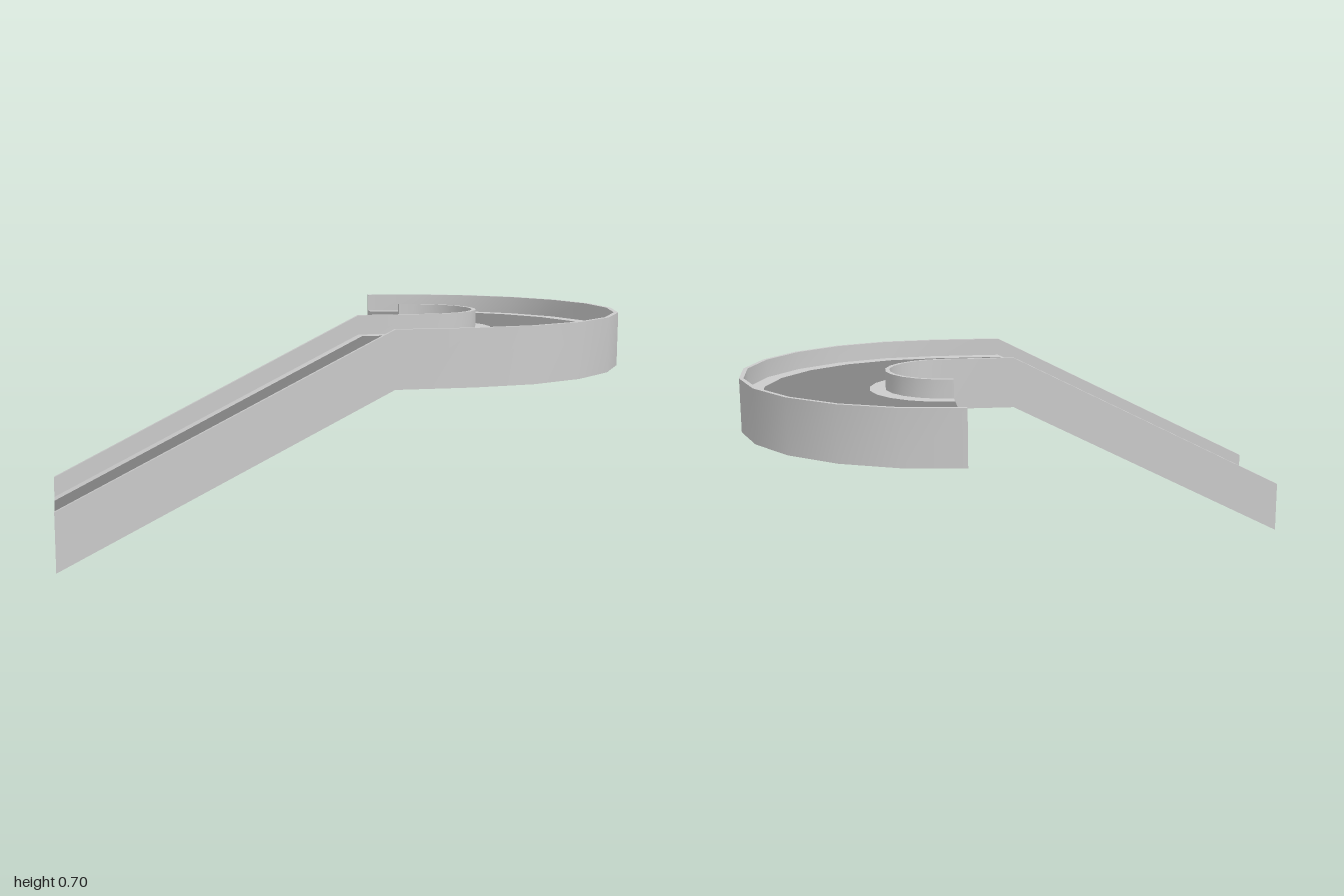
import * as THREE from 'three';
import { toCreasedNormals } from 'three/addons/utils/BufferGeometryUtils.js';

const CX = 0.287;               // centre of the bend
const LIFT = 0.517;             // height of the level stretch
const H = 0.185, LEDGE = 0.12;  // rail top and deck height
const IN = 0.207, OUT = 0.72, WALL = 0.015;
const BELT_IN = 0.278, BELT_OUT = 0.648;
const SEGMENTS = 11;

// Stations along the track: each maps (offset, height) to a point
const stations = [
  (r, y) => [-1, y, r],
  (r, y) => [0.03, y + LIFT, r],
];
for (let i = 0; i <= SEGMENTS; i++) {
  const a = (Math.PI * i) / SEGMENTS;
  stations.push((r, y) => [CX + r * Math.sin(a), y + LIFT, r * Math.cos(a)]);
}

// Sweeps an open cross-section along the track
function sweep(profile) {
  const pos = [];
  for (let i = 0; i < stations.length - 1; i++) {
    for (let j = 0; j < profile.length - 1; j++) {
      const a = stations[i](...profile[j]);
      const b = stations[i](...profile[j + 1]);
      const c = stations[i + 1](...profile[j + 1]);
      const d = stations[i + 1](...profile[j]);
      pos.push(...a, ...b, ...d, ...b, ...c, ...d);
    }
  }
  const geo = new THREE.BufferGeometry();
  geo.setAttribute('position', new THREE.Float32BufferAttribute(pos, 3));
  return toCreasedNormals(geo, 0.6);
}

// Flat end of the channel, facing -x; side mirrors it across z
function endCap(profile, side) {
  const shape = new THREE.Shape(profile.map(([r, y]) => new THREE.Vector2(r * side, y)));
  return new THREE.ShapeGeometry(shape).rotateY(-Math.PI / 2);
}

export function createModel() {
  const group = new THREE.Group();
  const frameMat = new THREE.MeshStandardMaterial({ color: 0xcccccc });
  const beltMat = new THREE.MeshStandardMaterial({ color: 0x848484 });
  const add = (name, geo, mat) => {
    const mesh = new THREE.Mesh(geo, mat);
    mesh.name = name;
    group.add(mesh);
    return mesh;
  };

  // Channel with a thin rail and a ledge on each side
  const channel = [
    [BELT_OUT, LEDGE], [OUT - WALL, LEDGE], [OUT - WALL, H], [OUT, H], [OUT, 0],
    [IN, 0], [IN, H], [IN + WALL, H], [IN + WALL, LEDGE], [BELT_IN, LEDGE],
  ];
  add('channelFrame', sweep(channel), frameMat);

  // Running surface between the ledges
  add('belt', sweep([[BELT_IN, LEDGE], [BELT_OUT, LEDGE]]), beltMat);

  // Ends of the ramp and of the bend
  add('rampEnd', endCap(channel, 1), frameMat).position.set(-1, 0, 0);
  add('bendEnd', endCap(channel, -1), frameMat).position.set(CX, LIFT, 0);

  return group;
}
